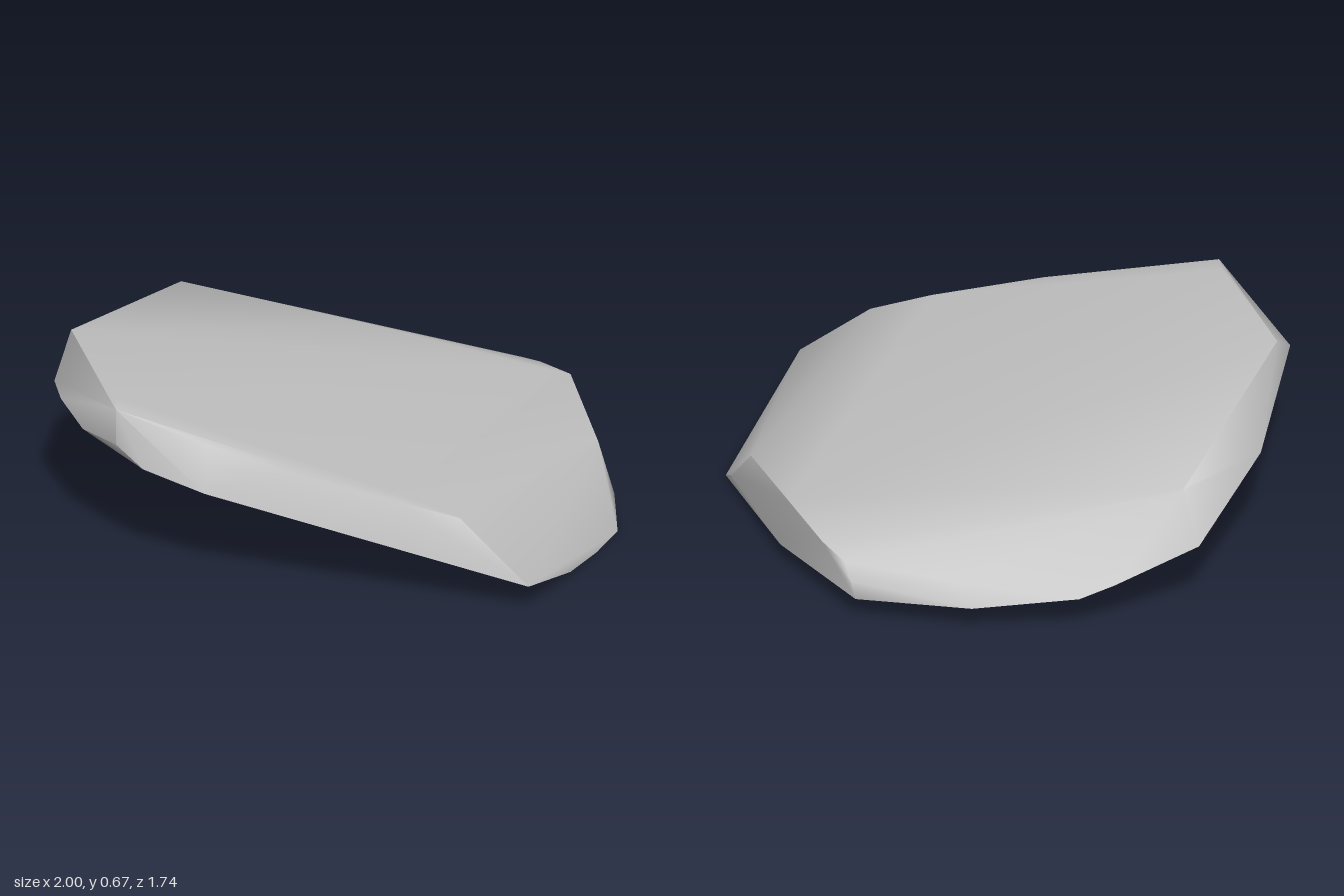
import * as THREE from 'three';
import { ConvexGeometry } from 'three/addons/geometries/ConvexGeometry.js';

// Tilted underside plane on which the lower rim lies
const under = (x, z) => 0.219 - 0.219 * x + 0.137 * z;

// Smooth the normals, larger faces counting more, but keep edges over the angle sharp
function creaseByArea(geometry, angle) {
  const pos = geometry.attributes.position;
  const corners = Array.from({ length: pos.count }, (_, i) => new THREE.Vector3().fromBufferAttribute(pos, i));
  const faces = [];
  for (let i = 0; i < pos.count; i += 3) {
    const [a, b, c] = corners.slice(i, i + 3);
    faces.push(b.clone().sub(a).cross(c.clone().sub(a)));
  }
  corners.forEach((p, i) => {
    const own = faces[Math.floor(i / 3)];
    const sum = new THREE.Vector3();
    corners.forEach((q, j) => {
      const other = faces[Math.floor(j / 3)];
      if (p.distanceTo(q) < 1e-5 && own.angleTo(other) < angle) sum.add(other);
    });
    sum.normalize();
    geometry.attributes.normal.setXYZ(i, sum.x, sum.y, sum.z);
  });
  return geometry;
}

export function createModel() {
  const group = new THREE.Group();
  group.name = 'rock';
  const stone = new THREE.MeshStandardMaterial({ color: 0xbfbfbf });
  stone.name = 'grey stone';

  // Corners of the sloping top slab (x, y, z)
  const top = [
    [-0.97, 0.665, 0.28], [-0.67, 0.655, 0.71], [-0.64, 0.645, 0.79],
    [0, 0.5, 0.75], [0.4, 0.41, 0.68], [0.62, 0.335, 0.655],
    [0.645, 0.305, -0.59], [0.58, 0.325, -0.56], [-0.1, 0.42, -0.53], [-0.8, 0.5, -0.5],
  ];
  // Worn bevel along the front edge of the top
  const bevel = [[-0.3, 0.555, 0.79], [0, 0.485, 0.772], [0.4, 0.392, 0.705]];
  // Chipped shoulders between the top and the rim
  const shoulder = [
    [0.86, 0.24, -0.24], [0.95, 0.085, -0.15], [0.48, 0.25, -0.75],
    [0.38, 0.22, -0.82], [0.35, 0.16, -0.855], [0, 0.2, -0.825],
    [0.33, 0.1, -0.87], [-0.1, 0.12, -0.87],
    [-0.63, 0.52, 0.82], [-0.98, 0.54, 0.45],
  ];
  // Lower rim, dropped onto the underside plane
  const rim = [
    [-0.28, 0.87], [-0.52, 0.845], [-0.8, 0.68], [-0.88, -0.6], [0.45, 0.75],
  ].map(([x, z]) => [x, under(x, z), z]);
  // Remaining low points, where the rock rests and the ends of its underside
  const base = [
    [1, 0, -0.03], [0.98, 0.003, 0.15], [0.945, 0.02, 0.36], [0.885, 0.107, 0.675],
    [0.68, 0.08, -0.55], [0, 0.1, -0.84], [-0.48, 0.165, -0.79], [-0.6, 0.21, -0.74],
    [-1, 0.445, -0.12], [-0.93, 0.515, 0.53],
  ];

  const corners = [...top, ...bevel, ...shoulder, ...rim, ...base].map((p) => new THREE.Vector3(...p));
  const body = new THREE.Mesh(creaseByArea(new ConvexGeometry(corners), 0.85), stone);
  body.name = 'rockBody';
  group.add(body);
  return group;
}
